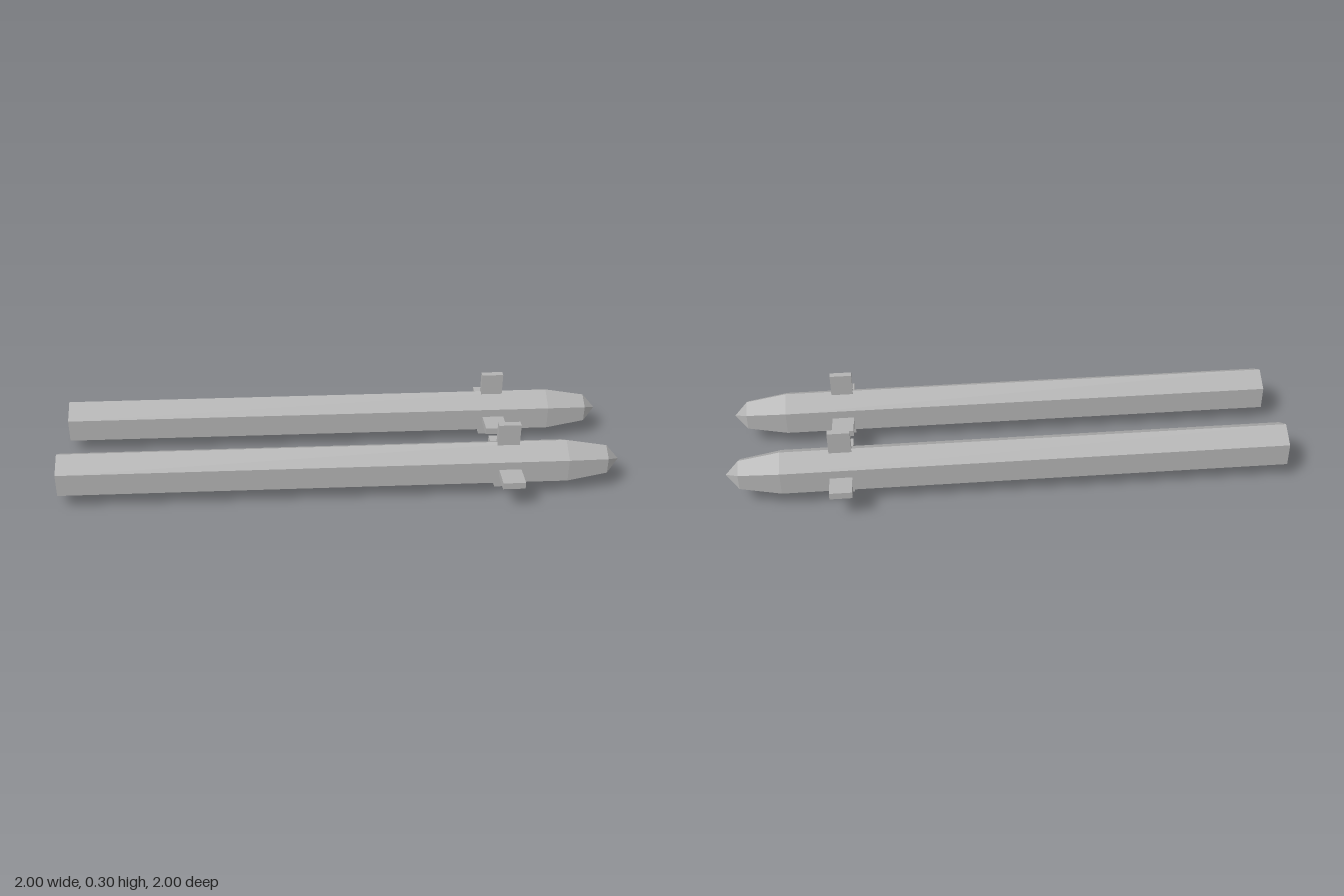
import * as THREE from 'three';

const grey = new THREE.MeshStandardMaterial({ color: 0xb2b2b2, flatShading: true });
grey.name = 'plain grey';

function addPart(group, name, geometry, x, y, z) {
  const mesh = new THREE.Mesh(geometry, grey);
  mesh.name = name;
  mesh.position.set(x, y, z);
  group.add(mesh);
}

// One missile: tail at the origin, nose pointing along -z
function createMissile() {
  const missile = new THREE.Group();
  const r = 0.097;
  const finZ = -1.85;

  // Six-sided body with a flat tail and a two-step pointed nose, ridge on top
  const profile = [[0, 0], [r, 0], [r, 2.093], [0.066, 2.263], [0, 2.319]]
    .map(([x, y]) => new THREE.Vector2(x, y));
  const body = new THREE.LatheGeometry(profile, 6).toNonIndexed();
  body.rotateX(-Math.PI / 2);
  body.computeVertexNormals();
  addPart(missile, 'body', body, 0, 0, 0);

  // Side fins in one plate, and an upright fin that is cut short below
  addPart(missile, 'sideFins', new THREE.BoxGeometry(0.367, 0.028, 0.092), 0, 0, finZ);
  addPart(missile, 'uprightFin', new THREE.BoxGeometry(0.028, 0.298, 0.092), 0, 0.034, finZ);
  return missile;
}

export function createModel() {
  const model = new THREE.Group();
  model.name = 'missilePair';
  // Two parallel missiles lying diagonally
  [['rightMissile', -0.94, 0.64], ['leftMissile', -0.64, 0.94]].forEach(([name, x, z]) => {
    const missile = createMissile();
    missile.name = name;
    missile.position.set(x, 0.115, z);
    missile.rotation.y = -Math.PI / 4;
    model.add(missile);
  });
  return model;
}
